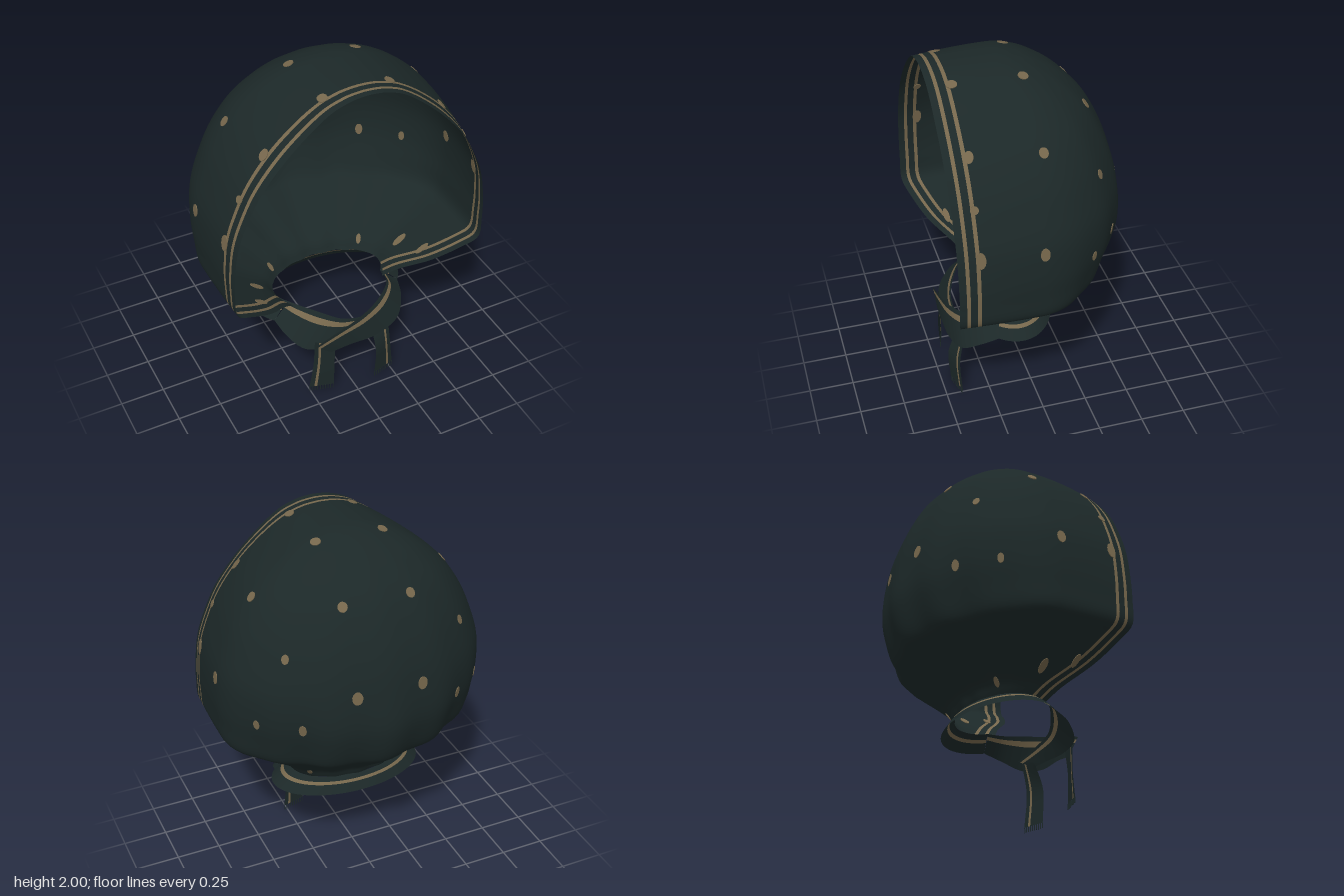
import * as THREE from 'three';
import { mergeVertices } from 'three/addons/utils/BufferGeometryUtils.js';

const V = (x, y, z) => new THREE.Vector3(x, y, z);
const { smoothstep } = THREE.MathUtils;
const cloth = new THREE.MeshStandardMaterial({ color: 0x1c2828, side: THREE.DoubleSide });
cloth.name = 'darkGreenCloth';
const tan = new THREE.MeshStandardMaterial({ color: 0x76674c, side: THREE.DoubleSide });
tan.name = 'tanPattern';

// Sheet of rows x cols cells; the cells of striped columns get the tan material
function sheet(name, rows, cols, point, isStripe) {
  const pos = [], plain = [], striped = [];
  for (let i = 0; i <= rows; i++)
    for (let j = 0; j <= cols; j++) pos.push(...point(i, j).toArray());
  for (let i = 0; i < rows; i++)
    for (let j = 0; j < cols; j++) {
      const a = i * (cols + 1) + j, b = a + cols + 1;
      (isStripe(j) ? striped : plain).push(a, a + 1, b, b, a + 1, b + 1);
    }
  let g = new THREE.BufferGeometry();
  g.setAttribute('position', new THREE.Float32BufferAttribute(pos, 3));
  g.setIndex([...plain, ...striped]);
  g = mergeVertices(g);
  g.addGroup(0, plain.length, 0);
  g.addGroup(plain.length, striped.length, 1);
  g.computeVertexNormals();
  const mesh = new THREE.Mesh(g, [cloth, tan]);
  mesh.name = name;
  return mesh;
}

// Strip of cloth between two edge curves; vs are the column positions across it
function ribbon(name, edgeA, edgeB, vs, stripe, sx = 1) {
  const a = new THREE.CatmullRomCurve3(edgeA.map(p => V(p[0] * sx, p[1], p[2])));
  const b = new THREE.CatmullRomCurve3(edgeB.map(p => V(p[0] * sx, p[1], p[2])));
  return sheet(name, 24, vs.length - 1,
    (i, j) => a.getPoint(i / 24).lerp(b.getPoint(i / 24), vs[j]), j => j === stripe);
}

// Hood levels: height, half width, half width at rim, z of widest point, z of rim, z of back
const LEVELS = [
  [0.55, 0.33, 0.28, 0.10, 0.24, -0.10],
  [0.62, 0.385, 0.36, 0.08, 0.30, -0.14],
  [0.72, 0.52, 0.49, 0.08, 0.415, -0.27],
  [0.82, 0.665, 0.64, 0.08, 0.49, -0.39],
  [0.88, 0.735, 0.72, 0.08, 0.515, -0.45],
  [1.00, 0.75, 0.73, 0.08, 0.515, -0.495],
  [1.13, 0.757, 0.725, 0.08, 0.515, -0.515],
  [1.30, 0.745, 0.70, 0.08, 0.515, -0.50],
  [1.45, 0.70, 0.645, 0.08, 0.515, -0.47],
  [1.60, 0.635, 0.565, 0.08, 0.515, -0.415],
  [1.75, 0.53, 0.44, 0.08, 0.515, -0.33],
  [1.87, 0.39, 0.31, 0.08, 0.515, -0.21],
  [1.95, 0.25, 0.20, 0.10, 0.515, -0.08],
  [1.985, 0.14, 0.11, 0.12, 0.515, 0.02],
  [1.996, 0.07, 0.055, 0.14, 0.515, 0.08],
  [2.00, 0, 0, 0.15, 0.515, 0.15],
];

function makeHood() {
  const c1 = new THREE.CatmullRomCurve3(LEVELS.map(l => V(l[0], l[1], l[2])), false, 'catmullrom');
  const c2 = new THREE.CatmullRomCurve3(LEVELS.map(l => V(l[3], l[4], l[5])), false, 'catmullrom');
  const rows = (LEVELS.length - 1) * 5;
  const edge = [0, 0.036, 0.055, 0.09, 0.11];
  const SIDE = 6, BACK = 30, half = edge.length - 1 + SIDE + BACK;
  return sheet('hood', rows, half * 2, (i, j) => {
    const k = Math.min(j, 2 * half - j), sx = j <= half ? 1 : -1;
    const { x: y, y: w, z: wf } = c1.getPoint(i / rows);
    const { x: zc, y: zf, z: zb } = c2.getPoint(i / rows);
    if (k < edge.length + SIDE) {
      // Side wall, with the hem stripes parallel to the rim
      const e = edge[Math.min(k, edge.length - 1)];
      let q = 1 - e / (zf - zc);
      if (k >= edge.length) q *= 1 - (k - edge.length + 1) / SIDE;
      return V(sx * (w - (w - wf) * q * q), y, zc + (zf - zc) * q);
    }
    // Rounded back, pulled in at the lower corners, with soft gathers towards the neck
    const a = (k - edge.length + 1 - SIDE) / BACK * Math.PI / 2;
    const low = 1 - smoothstep(y, 0.75, 1.4);
    const pinch = 0.055 * smoothstep(y, 0.55, 0.75) * (1 - smoothstep(y, 0.85, 1.35));
    const f = 1 - pinch * Math.sin(2 * a) ** 2
      + (0.006 + 0.02 * low) * Math.sin(a) ** 2 * Math.cos(14 * (Math.PI / 2 - a));
    return V(sx * w * Math.cos(a) * f, y, zc + (zb - zc) * Math.sin(a) * f);
  }, j => [1, 3].includes(Math.min(j, 2 * half - 1 - j)));
}

// Spots, mirrored on both sides and set through the cloth: centre, half width, half height
const SPOTS = [
  [0.19, 1.76, -0.31, 0.026, 0.028], [0.19, 1.97, 0.03, 0.029, 0.027],
  [0.56, 1.74, 0.03, 0.025, 0.028], [0.5, 1.52, -0.29, 0.02, 0.026],
  [0.185, 1.315, -0.48, 0.029, 0.036], [0.75, 1.27, 0.08, 0.025, 0.036],
  [0.455, 1.13, -0.39, 0.021, 0.033], [0.63, 1.125, -0.21, 0.018, 0.028],
  [0.45, 0.67, 0.13, 0.021, 0.048], [0.5, 0.71, 0.3, 0.018, 0.045],
  [0.28, 0.61, -0.05, 0.014, 0.03], [0.18, 1.96, 0.395, 0.03, 0.026],
  [0.5, 1.74, 0.395, 0.024, 0.032], [0.63, 1.52, 0.405, 0.022, 0.022],
  [0.72, 1.28, 0.4, 0.026, 0.045],
];

function makeSpots(hood) {
  const group = new THREE.Group();
  group.name = 'spots';
  const P = hood.geometry.attributes.position, N = hood.geometry.attributes.normal;
  const disc = new THREE.CylinderGeometry(1, 1, 0.007, 14);
  const v = V(), n = V(), basis = new THREE.Matrix4();
  for (const [x, y, z, rw, rh] of SPOTS)
    for (const s of [1, -1]) {
      const p = V(x * s, y, z);
      let best = 0, bestD = Infinity;
      for (let i = 0; i < P.count; i++) {
        const d = v.fromBufferAttribute(P, i).distanceToSquared(p);
        if (d < bestD) { bestD = d; best = i; }
      }
      v.fromBufferAttribute(P, best);
      n.fromBufferAttribute(N, best);
      p.addScaledVector(n, -p.clone().sub(v).dot(n));
      const across = V(0, 1, 0).cross(n).normalize();
      basis.makeBasis(across, n, across.clone().cross(n));
      const spot = new THREE.Mesh(disc, tan);
      spot.name = 'spot';
      spot.position.copy(p);
      spot.quaternion.setFromRotationMatrix(basis);
      spot.scale.set(rw, 1, rh);
      group.add(spot);
    }
  return group;
}

export function createModel() {
  const model = new THREE.Group();
  model.name = 'headscarf';
  const hood = makeHood();
  model.add(hood, makeSpots(hood));

  // Flared collar round the back of the neck
  const cv = [0, 0.15, 0.35, 0.52, 1];
  model.add(sheet('collar', 48, cv.length - 1, (i, j) => {
    const a = -0.5 + i / 48 * (Math.PI + 1), v = cv[j];
    return V((0.33 + 0.115 * v) * Math.cos(a), 0.55 - 0.08 * v ** 1.3,
      0.1 - (0.2 + 0.06 * v) * Math.sin(a));
  }, j => j === 2));

  // Crossed front ties: the left one lies over the right one
  const tieCols = [0, 0.14, 0.31, 0.65, 1];
  model.add(ribbon('leftTie',
    [[0.29, 0.55, 0.196], [0.28, 0.55, 0.29], [0.18, 0.53, 0.38],
      [0.05, 0.495, 0.43], [-0.1, 0.455, 0.45], [-0.25, 0.40, 0.452]],
    [[0.39, 0.47, 0.225], [0.365, 0.43, 0.32], [0.29, 0.365, 0.41],
      [0.13, 0.33, 0.45], [-0.03, 0.335, 0.457], [-0.15, 0.32, 0.452]], tieCols, 1));
  model.add(ribbon('rightTie',
    [[0.29, 0.55, 0.196], [0.25, 0.56, 0.27], [0.16, 0.53, 0.34],
      [0.05, 0.48, 0.39], [-0.1, 0.44, 0.39], [-0.25, 0.40, 0.365]],
    [[0.39, 0.47, 0.225], [0.365, 0.43, 0.32], [0.29, 0.365, 0.405],
      [0.13, 0.345, 0.435], [-0.03, 0.35, 0.43], [-0.15, 0.345, 0.41]], tieCols, 1, -1));

  // Hanging tails, turned slightly outwards, with fringed ends; back is the setback at the knot
  for (const [name, s, end, back] of [['leftTail', 1, 0.03, 0.045], ['rightTail', -1, 0.06, 0]]) {
    const tail = new THREE.Group();
    tail.name = name;
    tail.add(ribbon(name + 'Cloth',
      [[0.24, 0.41, 0.425 - back], [0.245, 0.22, 0.415], [0.268, end, 0.41]],
      [[0.125, 0.36, 0.445 - back], [0.132, 0.22, 0.455], [0.132, end, 0.448]],
      [0, 0.2, 0.32, 1], 1, s));
    for (let i = 0; i < 10; i++) {
      const thread = new THREE.Mesh(new THREE.BoxGeometry(0.004, 0.03, 0.004), cloth);
      thread.name = 'fringeThread';
      thread.position.set(s * (0.135 + i * 0.0145), end - 0.015, 0.447 - i * 0.004);
      tail.add(thread);
    }
    model.add(tail);
  }
  return model;
}
